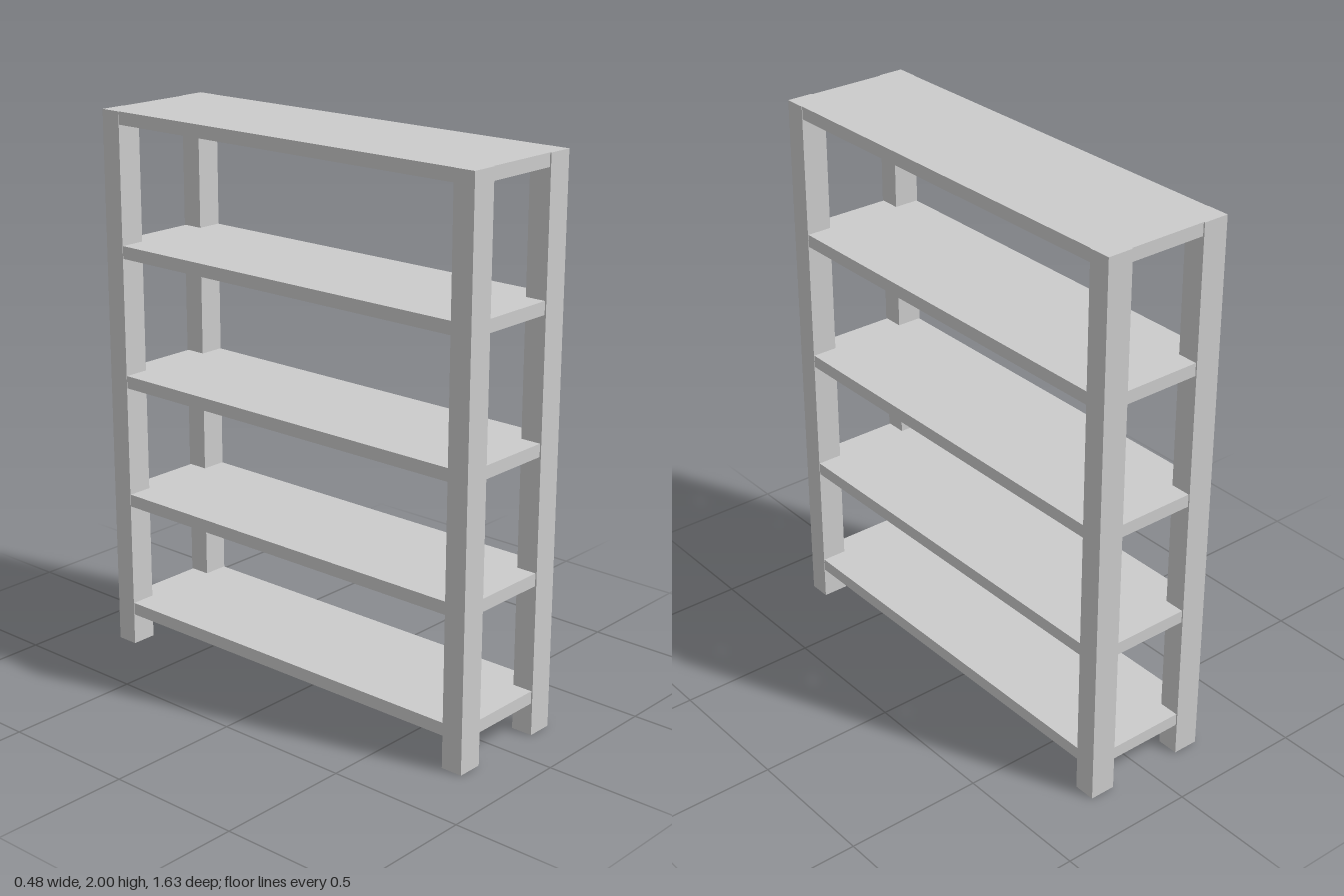
import * as THREE from 'three';

const material = new THREE.MeshStandardMaterial({ color: 0xcccccc, flatShading: true });

function addBox(parent, name, [w, h, d], [x, y, z]) {
  const mesh = new THREE.Mesh(new THREE.BoxGeometry(w, h, d), material);
  mesh.name = name;
  mesh.position.set(x, y, z);
  parent.add(mesh);
}

export function createModel() {
  const model = new THREE.Group();
  model.name = 'shelvingUnit';

  // Four corner posts, full height
  const postW = 0.095, postD = 0.08, halfW = 0.24, halfD = 0.815;
  for (const [sx, side] of [[1, 'Left'], [-1, 'Right']]) {
    for (const [sz, end] of [[1, 'front'], [-1, 'back']]) {
      addBox(model, `${end}${side}Post`, [postW, 2, postD],
        [sx * (halfW - postW / 2), 1, sz * (halfD - postD / 2)]);
    }
  }

  // Five shelves, set a hair inside the outer faces of the posts
  const thickness = 0.046;
  [0.163, 0.593, 1.047, 1.525, 2].forEach((top, i) => {
    addBox(model, `shelf${i + 1}`, [0.476, thickness, 1.62], [0, top - thickness / 2, 0]);
  });

  return model;
}
